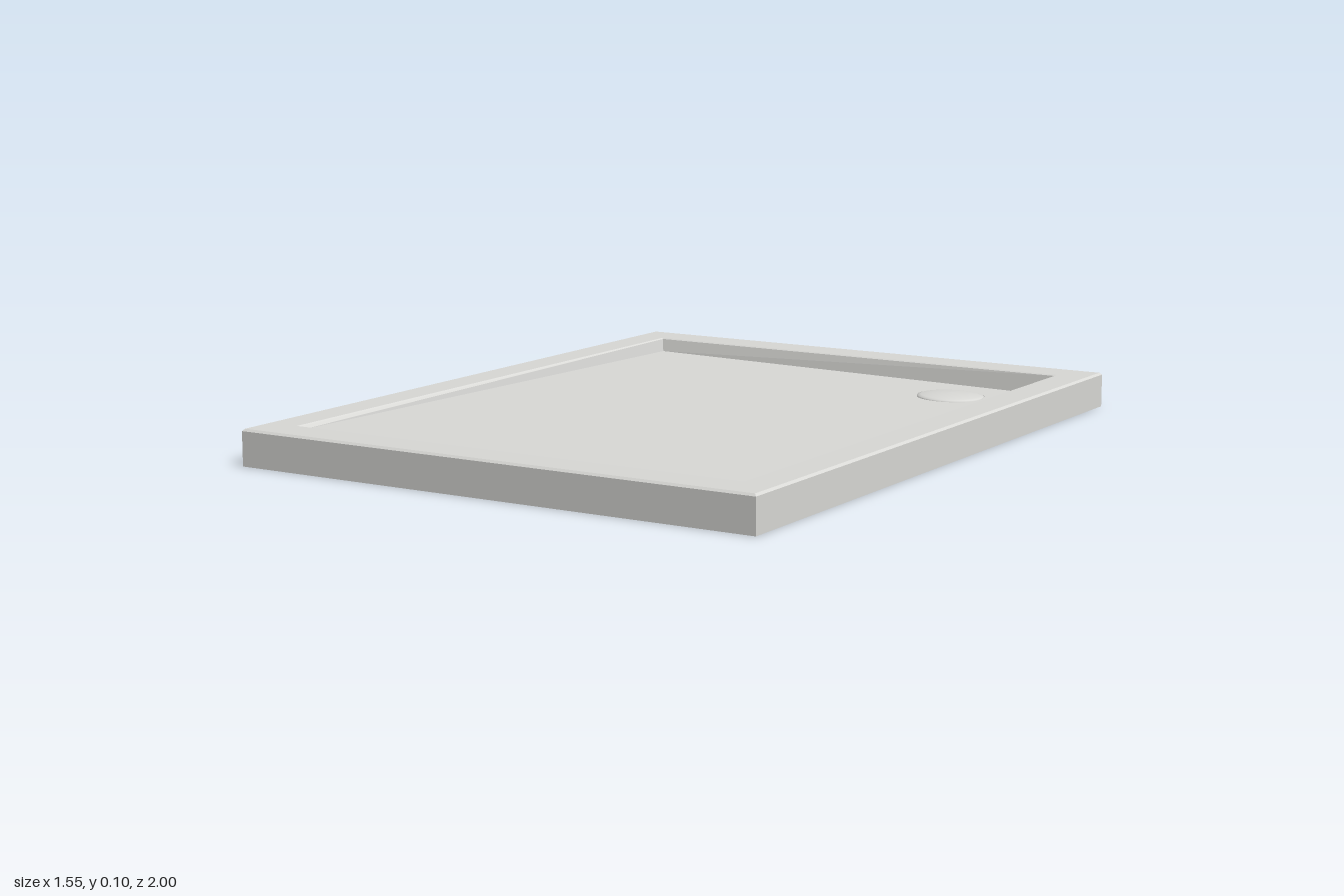
import * as THREE from 'three';

const RIM = 0.1;
const CORNERS = [[1, 1], [1, -1], [-1, -1], [-1, 1]];
// basin depth: the floor falls toward the drain corner (+x, -z)
const depth = (x, z) => 0.035 + 0.0148 * x - 0.0169 * z;

// rectangular loop of four corners; y may be a number or a function of (x, z)
const loop = (hx, hz, y) => CORNERS.map(([sx, sz]) => {
  const x = sx * hx, z = sz * hz;
  return [x, typeof y === 'function' ? y(x, z) : y, z];
});

// flat-sided skin through consecutive loops, optionally closed by the last one
function skin(loops, close) {
  const p = [];
  const quad = (a, b, c, d) => p.push(...a, ...b, ...c, ...a, ...c, ...d);
  for (let k = 0; k < loops.length - 1; k++) {
    for (let i = 0; i < 4; i++) {
      const j = (i + 1) % 4;
      quad(loops[k][i], loops[k][j], loops[k + 1][j], loops[k + 1][i]);
    }
  }
  if (close) quad(...loops[loops.length - 1]);
  const g = new THREE.BufferGeometry();
  g.setAttribute('position', new THREE.Float32BufferAttribute(p, 3));
  g.computeVertexNormals();
  return g;
}

export function createModel() {
  const root = new THREE.Group();
  root.name = 'showerTray';
  const acrylic = new THREE.MeshStandardMaterial({ color: 0xd9d9d6, side: THREE.DoubleSide });
  acrylic.name = 'offWhiteAcrylic';
  const dark = new THREE.MeshStandardMaterial({ color: 0x222222, side: THREE.DoubleSide });
  dark.name = 'darkOutlet';

  const add = (name, geometry, material, parent = root) => {
    const m = new THREE.Mesh(geometry, material);
    m.name = name;
    parent.add(m);
    return m;
  };
  const floorY = (x, z) => RIM - depth(x, z);

  // outer skirt and rim with a small eased edge, open underneath
  add('rim', skin([
    loop(0.775, 1, 0),
    loop(0.775, 1, RIM - 0.006),
    loop(0.769, 0.994, RIM),
    loop(0.68, 0.893, RIM),
  ]), acrylic);

  // slightly drafted basin walls and sloping floor
  add('basin', skin([
    loop(0.68, 0.893, RIM),
    loop(0.676, 0.889, RIM - 0.003),
    loop(0.669, 0.88, floorY),
  ], true), acrylic);

  // drain set into the rear left corner
  const dx = 0.445, dz = -0.67, dy = floorY(dx, dz);
  const drain = new THREE.Group();
  drain.name = 'drain';
  drain.position.set(dx, 0, dz);
  root.add(drain);

  // shallow domed cover, tilted with the floor
  const dome = [[0.096, -0.001], [0.095, 0.004], [0.085, 0.007], [0.06, 0.011], [0.03, 0.013], [0, 0.014]];
  const cover = add('drainCover',
    new THREE.LatheGeometry(dome.map(([r, y]) => new THREE.Vector2(r, y)), 40), acrylic, drain);
  cover.position.y = dy;
  cover.quaternion.setFromUnitVectors(
    new THREE.Vector3(0, 1, 0), new THREE.Vector3(0.0148, 1, -0.0169).normalize());

  // flanged body below the floor, with a recessed outlet
  const sides = (name, rTop, rBottom, y0, y1) => {
    const c = add(name, new THREE.CylinderGeometry(rTop, rBottom, y1 - y0, 40, 1, true), acrylic, drain);
    c.position.y = (y0 + y1) / 2;
  };
  sides('drainNeck', 0.105, 0.105, 0.012, dy - 0.002);
  sides('drainFlangeEdge', 0.12, 0.12, 0.001, 0.012);
  sides('outletWall', 0.08, 0.08, 0.001, 0.006);
  const ring = (name, r0, r1, y, dir) => {
    const m = add(name, new THREE.RingGeometry(r0, r1, 40), acrylic, drain);
    m.rotation.x = dir * Math.PI / 2;
    m.position.y = y;
  };
  ring('drainFlangeBottom', 0.08, 0.12, 0.001, 1);
  ring('drainFlangeTop', 0.105, 0.12, 0.012, -1);
  const outlet = add('outletHole', new THREE.CircleGeometry(0.08, 40), dark, drain);
  outlet.rotation.x = Math.PI / 2;
  outlet.position.y = 0.006;

  return root;
}
